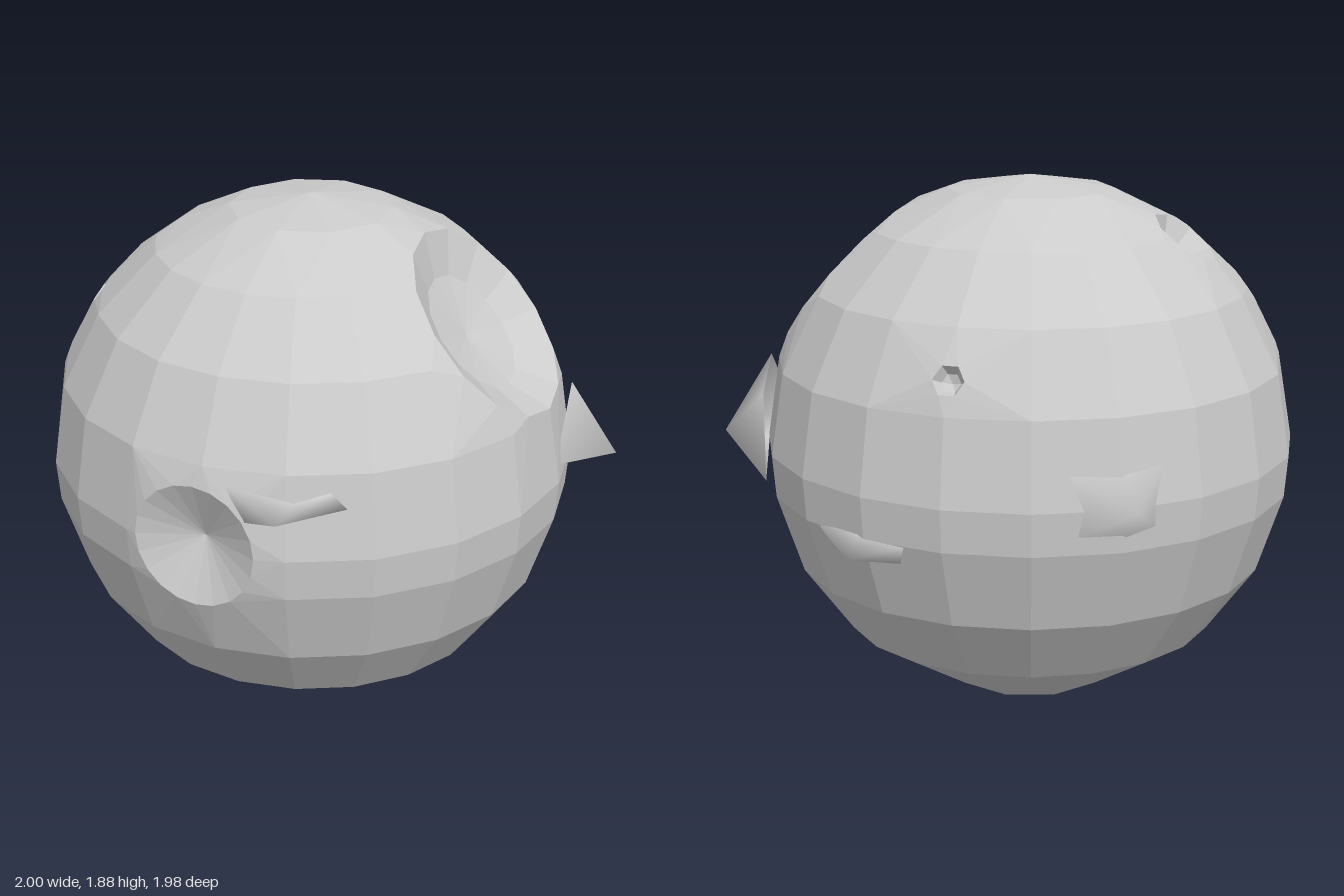
import * as THREE from 'three';
import { ConvexGeometry } from 'three/addons/geometries/ConvexGeometry.js';

const CENTER = new THREE.Vector3(-0.06, 0.945, -0.05);
const R = 0.938;
const rad = THREE.MathUtils.degToRad;

// Craters: direction from the centre, rim radius, bowl depth, rim sides
const CRATERS = [
  { name: 'largeCrater', dir: [0.66, 0.57, 0], r: 0.37, depth: 0.1, sides: 14 },
  { name: 'frontCrater', dir: [-0.03, 0, 0.89], r: 0.22, depth: 0.09, sides: 20, cone: true },
  { name: 'upperCrater', dir: [-0.56, 0.75, 0], r: 0.13, depth: 0.08, sides: 8 },
  { name: 'smallCrater', dir: [-0.72, 0.55, 0.23], r: 0.06, depth: 0.05, sides: 7 },
  { name: 'tinyCrater', dir: [-0.8, 0.32, 0.31], r: 0.04, depth: 0.03, sides: 5 },
  { name: 'backCrater', dir: [0, 0.4, -0.85], r: 0.055, depth: 0.05, sides: 6 },
  { name: 'lowerCrater', dir: [-0.64, -0.66, 0.18], r: 0.05, depth: 0.03, sides: 5 },
];

// Spikes: one tip and the outline where it leaves the rock
const SPIKES = [
  { name: 'rightSpike', tip: [1, 0.95, -0.35], base: [[0.85, 0.99, -0.09], [0.84, 1.23, -0.28],
    [0.84, 1.1, -0.36], [0.72, 0.86, -0.61], [0.85, 0.92, -0.3]] },
  { name: 'frontSpike', tip: [0.26, 1.155, 0.985], base: [[0.03, 1.19, 0.86], [0.26, 1.165, 0.84],
    [0.36, 1.19, 0.77], [0.4, 1.12, 0.73], [0.08, 1.065, 0.85]] },
  { name: 'backSpike', tip: [0.26, 0.745, -0.99], base: [[0.06, 0.8, -0.95], [0.25, 0.82, -0.91],
    [0.42, 0.8, -0.84], [0.4, 0.73, -0.8], [0.1, 0.73, -0.93]] },
  { name: 'rearLeftSpike', tip: [-0.67, 0.95, -0.85], base: [[-0.71, 1.08, -0.67], [-0.58, 1.12, -0.74],
    [-0.45, 1.06, -0.87], [-0.46, 0.85, -0.87], [-0.58, 0.78, -0.75], [-0.7, 0.85, -0.68]] },
];

function meshFrom(name, positions, material) {
  const geometry = new THREE.BufferGeometry();
  geometry.setAttribute('position', new THREE.Float32BufferAttribute(positions, 3));
  geometry.computeVertexNormals();
  const mesh = new THREE.Mesh(geometry, material);
  mesh.name = name;
  return mesh;
}

// Ring of points around a crater axis; depth is measured inward from the rim
function craterRing(c, scale, depth) {
  const axis = new THREE.Vector3(...c.dir).normalize();
  const turn = new THREE.Quaternion().setFromUnitVectors(new THREE.Vector3(0, 0, 1), axis);
  const height = Math.sqrt(R * R - c.r * c.r) - depth;
  return Array.from({ length: c.sides }, (_, i) => {
    const a = (i / c.sides) * Math.PI * 2;
    return new THREE.Vector3(Math.cos(a) * c.r * scale, Math.sin(a) * c.r * scale, height)
      .applyQuaternion(turn).add(CENTER);
  });
}

// Faceted rock: hull of latitude rows and crater rims, with the crater caps left open
function rock(material) {
  const points = [];
  const rims = CRATERS.map((c) => craterRing(c, 1, 0));
  for (const lat of [0, 18, 36, 54, 72, 90, 99, 117, 135, 162, 180]) {
    const count = lat % 180 === 0 ? 1 : lat === 18 || lat === 162 ? 10 : 20;
    for (let i = 0; i < count; i++) {
      const n = new THREE.Vector3().setFromSphericalCoords(1, rad(lat), (i / count) * Math.PI * 2);
      const inCrater = CRATERS.some((c) =>
        n.angleTo(new THREE.Vector3(...c.dir)) < Math.asin(c.r / R) + 0.03);
      if (!inCrater) points.push(n.multiplyScalar(R).add(CENTER));
    }
  }
  const hull = new ConvexGeometry([...points, ...rims.flat()]).getAttribute('position');
  const kept = [];
  for (let i = 0; i < hull.count; i += 3) {
    const tri = [0, 1, 2].map((k) => new THREE.Vector3().fromBufferAttribute(hull, i + k));
    const isCap = rims.some((rim) => tri.every((v) => rim.some((p) => p.distanceTo(v) < 1e-4)));
    if (!isCap) tri.forEach((v) => kept.push(v.x, v.y, v.z));
  }
  return meshFrom('rock', kept, material);
}

// Concave bowl (or plain cone) below a crater rim
function bowl(c, material) {
  const steps = c.cone ? [[1, 0], [0, 1]] : [[1, 0], [0.6, 0.7], [0, 1]];
  const rings = steps.map(([s, d]) => craterRing(c, s, d * c.depth));
  const out = [];
  for (let k = 0; k < rings.length - 1; k++) {
    for (let i = 0; i < c.sides; i++) {
      const j = (i + 1) % c.sides;
      const [a, b, d, e] = [rings[k][i], rings[k][j], rings[k + 1][i], rings[k + 1][j]];
      const corners = k === rings.length - 2 ? [a, b, d] : [a, b, d, b, e, d];
      corners.forEach((v) => out.push(v.x, v.y, v.z));
    }
  }
  return meshFrom(c.name, out, material);
}

// Smooth-shaded spike with a shared tip
function spike(s, material) {
  const geometry = new THREE.BufferGeometry();
  geometry.setAttribute('position', new THREE.Float32BufferAttribute([...s.tip, ...s.base.flat()], 3));
  const n = s.base.length;
  geometry.setIndex(s.base.flatMap((_, i) => [0, 1 + i, 1 + ((i + 1) % n)]));
  geometry.computeVertexNormals();
  const mesh = new THREE.Mesh(geometry, material);
  mesh.name = s.name;
  return mesh;
}

export function createModel() {
  const group = new THREE.Group();
  group.name = 'asteroid';
  const faceted = new THREE.MeshStandardMaterial({ color: 0xcccccc, flatShading: true });
  const smooth = new THREE.MeshStandardMaterial({ color: 0xcccccc, side: THREE.DoubleSide });
  group.add(rock(faceted));
  CRATERS.forEach((c) => group.add(bowl(c, faceted)));
  SPIKES.forEach((s) => group.add(spike(s, smooth)));
  return group;
}
